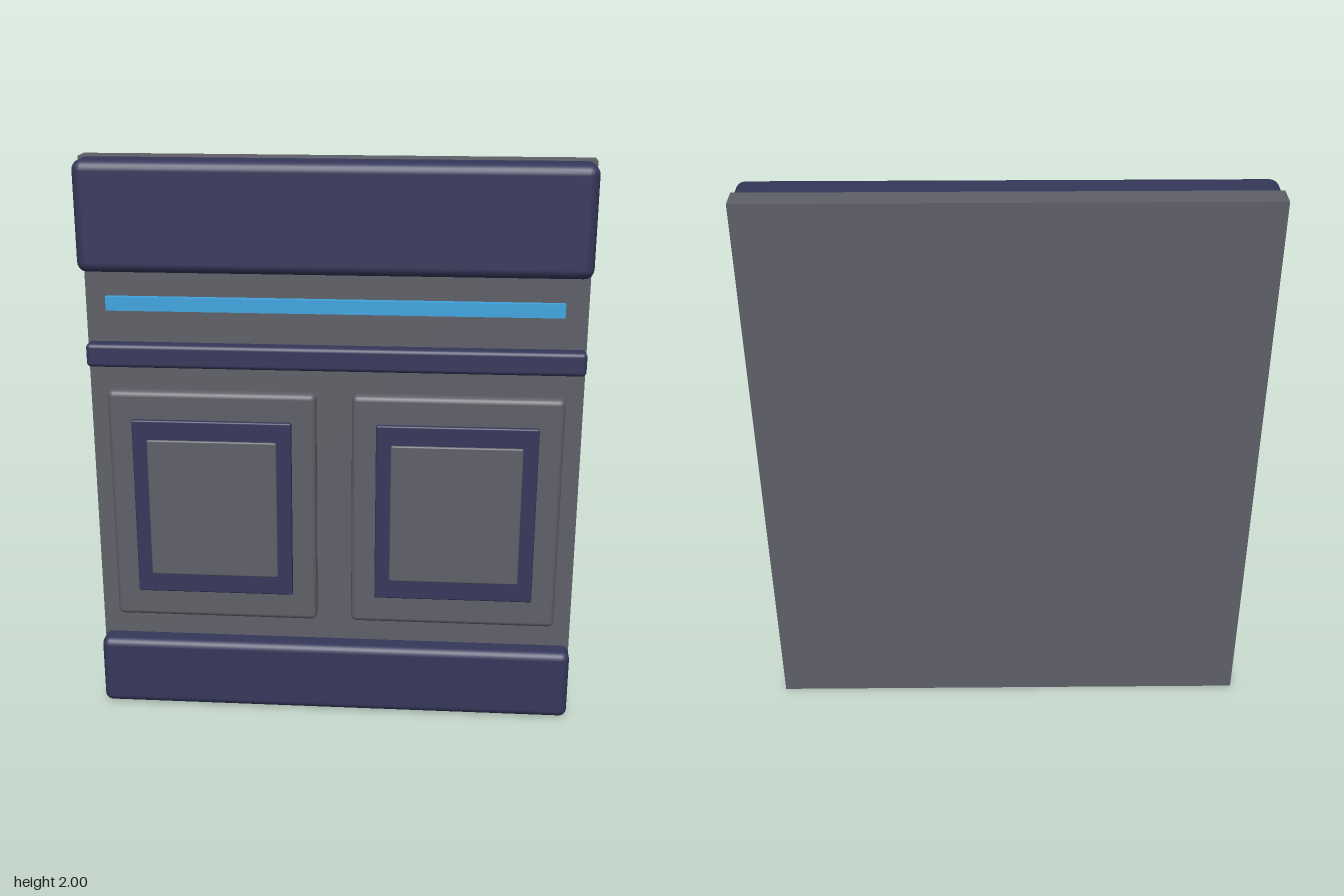
import * as THREE from 'three';
import { RoundedBoxGeometry } from 'three/addons/geometries/RoundedBoxGeometry.js';

const grey = new THREE.MeshStandardMaterial({ color: 0x5f5f68 });
const navy = new THREE.MeshStandardMaterial({ color: 0x35375a });
const blue = new THREE.MeshStandardMaterial({ color: 0x3fa4e0 });

// Box given by its [min, max] extents; a radius rounds its edges
function block(name, material, [x0, x1], [y0, y1], [z0, z1], radius = 0) {
  const size = [x1 - x0, y1 - y0, z1 - z0];
  const geometry = radius
    ? new RoundedBoxGeometry(...size, 3, radius)
    : new THREE.BoxGeometry(...size);
  const mesh = new THREE.Mesh(geometry, material);
  mesh.name = name;
  mesh.position.set((x0 + x1) / 2, (y0 + y1) / 2, (z0 + z1) / 2);
  return mesh;
}

// Raised panel with a coloured border and a central plate
function wallPanel(name, x) {
  const panel = new THREE.Group();
  panel.name = name;
  panel.position.x = x;
  panel.add(
    block('panelBase', grey, [-0.365, 0.365], [0.345, 1.2], [-0.05, 0.02], 0.02),
    block('panelBorder', navy, [-0.28, 0.28], [0.45, 1.1], [0, 0.035], 0.006),
    block('panelPlate', grey, [-0.228, 0.228], [0.52, 1.03], [0.01, 0.042], 0.006)
  );
  return panel;
}

export function createModel() {
  const model = new THREE.Group();
  model.name = 'wallSection';
  const full = [-0.853, 0.853];

  // Flat backing and the horizontal bands across it
  model.add(
    block('backBoard', grey, full, [0, 2], [-0.1, -0.015]),
    block('topBeam', navy, full, [1.63, 2], [-0.04, 0.1], 0.034),
    block('middleRail', navy, full, [1.288, 1.37], [-0.04, 0.035], 0.015),
    block('baseBeam', navy, full, [0.003, 0.26], [-0.04, 0.06], 0.028)
  );

  // Light strip standing clear of the board
  model.add(block('lightStrip', blue, [-0.77, 0.77], [1.494, 1.541], [0.03, 0.053]));

  // Pair of panels
  model.add(wallPanel('leftPanel', 0.427), wallPanel('rightPanel', -0.427));
  return model;
}
